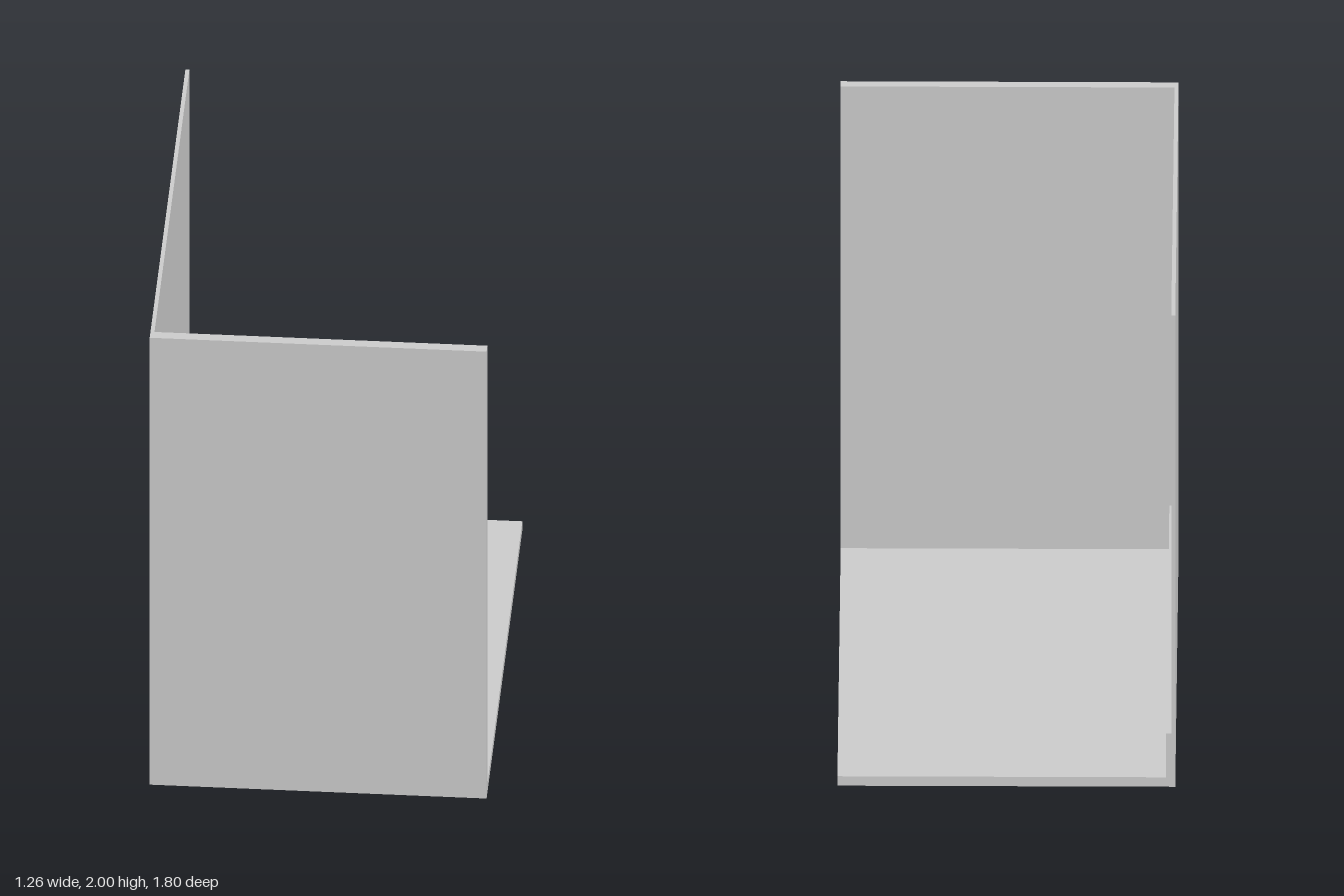
import * as THREE from 'three';

const W = 0.628, D = 0.898, H = 2;     // half width, half depth, height
const FLOOR = 0.04, FRONT = 0.04;      // floor and front panel thickness
const WALL = 0.015, STRIP = 0.034;     // side wall thickness, and with the skirting strip
const STRIP_TOP = 0.226;

export function createModel() {
  const group = new THREE.Group();
  const material = new THREE.MeshStandardMaterial({ color: 0xcccccc, flatShading: true });

  // Floor, skirting strip and thin side wall share one stepped profile
  const profile = new THREE.Shape([
    [-W, 0], [W, 0], [W, FLOOR], [-W + STRIP, FLOOR],
    [-W + STRIP, STRIP_TOP], [-W + WALL, STRIP_TOP], [-W + WALL, H], [-W, H],
  ].map(([x, y]) => new THREE.Vector2(x, y)));
  const floorAndWall = new THREE.Mesh(
    new THREE.ExtrudeGeometry(profile, { depth: 2 * D - FRONT, bevelEnabled: false }), material);
  floorAndWall.position.z = -D;
  floorAndWall.name = 'floorAndSideWall';
  group.add(floorAndWall);

  // Full-height panel closing the front
  const front = new THREE.Mesh(new THREE.BoxGeometry(2 * W, H, FRONT), material);
  front.position.set(0, H / 2, D - FRONT / 2);
  front.name = 'frontPanel';
  group.add(front);

  return group;
}
